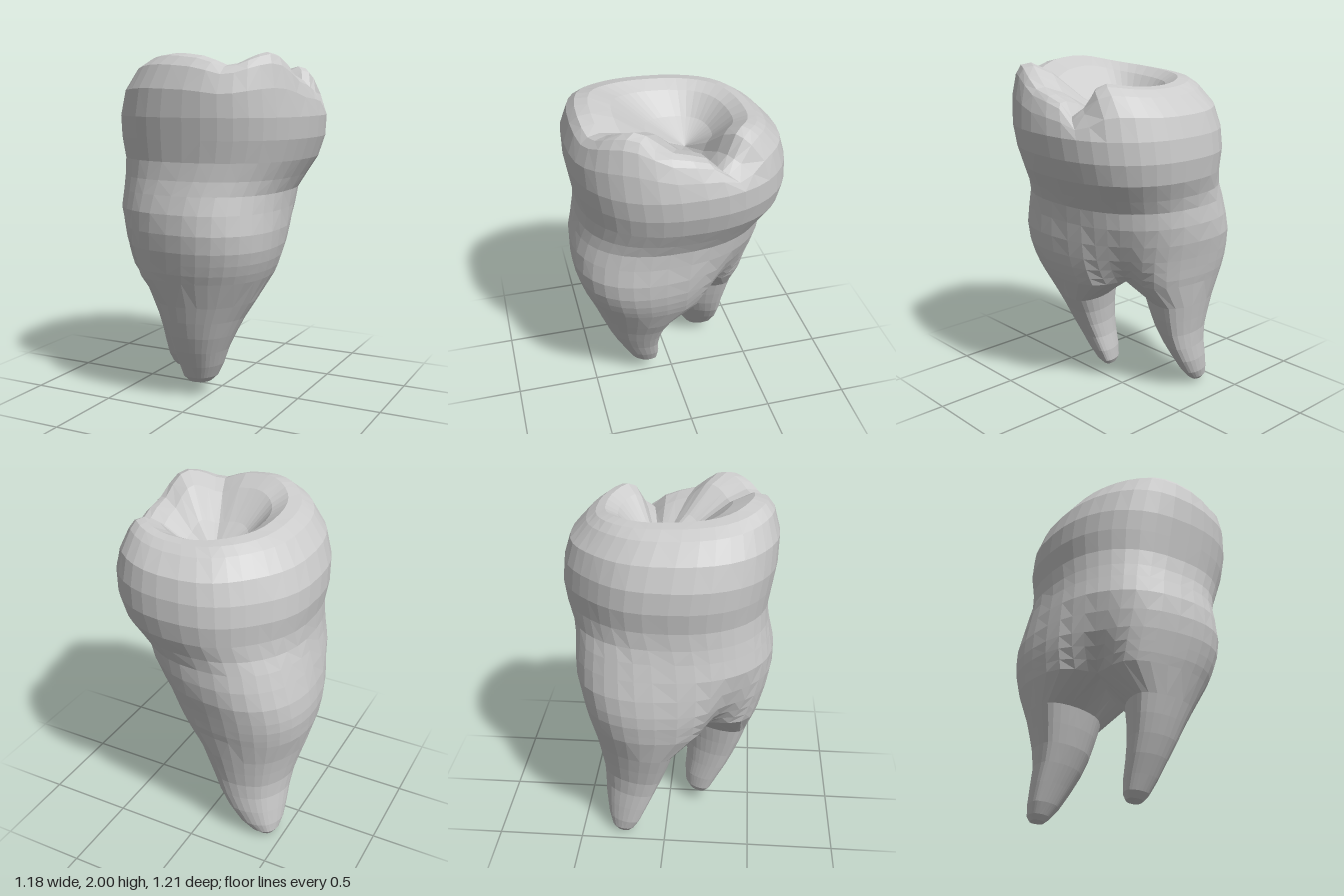
import * as THREE from 'three';

const N = 40, H = N / 2, K = 10; // points per ring, per half ring, across the fork
const FORK = -0.672;             // angle of the line that divides the two roots
const U = new THREE.Vector3(Math.cos(FORK), 0, Math.sin(FORK));
const V = new THREE.Vector3(-U.z, 0, U.x);
const WRAP = 38;                 // how far each root curls in at the fork, in degrees
const rad = THREE.MathUtils.degToRad;
const bend = (v, power) => Math.sign(v) * Math.abs(v) ** power;

// bell curve around an angle, wrapping at a full turn
function bell(t, centre, width) {
  const d = Math.atan2(Math.sin(t - centre), Math.cos(t - centre)) / width;
  return Math.exp(-d * d);
}

// rounded-square ring; skew swells one diagonal, groove dents it at the fork line,
// trim flattens the back right corner
function ring(height, [x0, x1, z0, z1, skew = 0, groove = 0, trim = 0]) {
  return Array.from({ length: N }, (_, i) => {
    const t = FORK + (i / N) * Math.PI * 2;
    const dent = groove * (bell(t, FORK, 0.36) + bell(t, FORK + Math.PI, 0.36));
    const k = (1 + skew * Math.sin(2 * t)) * (1 - dent) - trim * bell(t, rad(225), 0.5);
    return new THREE.Vector3(
      (x0 + x1) / 2 + k * (x1 - x0) / 2 * bend(Math.cos(t), 0.84),
      typeof height === 'function' ? height(t) : height,
      (z0 + z1) / 2 + k * (z1 - z0) / 2 * bend(Math.sin(t), 0.84));
  });
}

// skin between two rings, with alternating diagonals
function stitch(out, low, high) {
  low.forEach((a, i) => {
    const j = (i + 1) % low.length, b = low[j], c = high[i], d = high[j];
    if (i % 2) out.push(a, c, b, b, c, d);
    else out.push(a, c, d, a, d, b);
  });
}

function toMesh(name, points) {
  const geometry = new THREE.BufferGeometry().setFromPoints(points);
  geometry.computeVertexNormals();
  const mesh = new THREE.Mesh(geometry,
    new THREE.MeshStandardMaterial({ color: 0xcccccc, flatShading: true, side: THREE.DoubleSide }));
  mesh.name = name;
  return mesh;
}

// height of the chewing rim: cusps and the notch between them
const CUSPS = [[31, 0.045, 18], [108, 0.04, 30], [0, -0.09, 16], [-23, -0.18, 12],
  [68, -0.035, 12], [270, -0.05, 45], [200, -0.02, 35]];
const rim = t => CUSPS.reduce((y, [a, h, w]) => y + h * bell(t, rad(a), rad(w)), 1.96);
const rise = (base, f) => t => base + (rim(t) - base) * f;

function crown() {
  const rings = [
    [1.24, [-0.54, 0.44, -0.53, 0.58, 0.03]],
    [1.32, [-0.53, 0.48, -0.55, 0.565, 0.01, 0, 0.03]],
    [1.42, [-0.53, 0.535, -0.59, 0.56, 0, 0, 0.06]],
    [1.54, [-0.55, 0.575, -0.61, 0.58, 0, 0, 0.07]],
    [1.66, [-0.545, 0.587, -0.6, 0.6, 0, 0, 0.07]],
    [rise(1.66, 0.45), [-0.5, 0.57, -0.565, 0.605, 0, 0, 0.06]],
    [rise(1.66, 0.82), [-0.415, 0.54, -0.475, 0.57, 0, 0, 0.04]],
    [rise(1.66, 0.96), [-0.34, 0.515, -0.42, 0.53]],
    [rise(1.66, 1), [-0.27, 0.47, -0.37, 0.46]],
    [rise(1.67, 0.85), [-0.2, 0.38, -0.3, 0.34]],
    [rise(1.67, 0.42), [-0.1, 0.24, -0.2, 0.16]],
  ].map(r => ring(...r));
  const out = [];
  for (let i = 1; i < rings.length; i++) stitch(out, rings[i - 1], rings[i]);
  // floor of the basin
  const last = rings.at(-1), pit = new THREE.Vector3(0.06, 1.68, -0.06);
  last.forEach((p, i) => out.push(p, pit, last[(i + 1) % N]));
  return toMesh('crown', out);
}

const TRUNK = [
  [0.75, [-0.575, 0.355, -0.45, 0.525, 0.08, 0.36]],
  [0.8, [-0.58, 0.375, -0.463, 0.543, 0.085, 0.25]],
  [0.86, [-0.587, 0.395, -0.475, 0.56, 0.09, 0.16]],
  [0.93, [-0.587, 0.412, -0.49, 0.58, 0.09, 0.09]],
  [1.03, [-0.578, 0.425, -0.515, 0.598, 0.08, 0.035]],
  [1.14, [-0.56, 0.43, -0.53, 0.6, 0.05]],
  [1.24, [-0.54, 0.44, -0.53, 0.58, 0.03]],
].map(r => ring(...r));

function trunk() {
  const out = [];
  for (let i = 1; i < TRUNK.length; i++) stitch(out, TRUNK[i - 1], TRUNK[i]);
  return toMesh('rootTrunk', out);
}

// root: half of the trunk's lowest ring closed by the fork arch, then shrinking ovals
// each section: y, then centre x, centre z, half length along the fork, half width
function root(name, side, sections, tip) {
  const start = side > 0 ? 0 : H;
  const top = Array.from({ length: H + 1 }, (_, i) => TRUNK[0][(start + i) % N]);
  for (let i = 1; i < K; i++) {
    const p = top[H].clone().lerp(top[0], i / K);
    p.y -= 0.03 * Math.sin(Math.PI * i / K);
    top.push(p);
  }
  const rings = [top, ...sections.map(([y, cx, cz, a, b]) => top.map((_, i) => {
    const f = rad(i <= H
      ? -WRAP + (180 + 2 * WRAP) * i / H
      : 180 + WRAP + (180 - 2 * WRAP) * (i - H) / K);
    const inner = Math.sin(f) < 0 ? 0.78 : 1; // flatter towards the other root
    return new THREE.Vector3(cx, y, cz)
      .addScaledVector(U, side * a * bend(Math.cos(f), 1.2))
      .addScaledVector(V, side * b * inner * bend(Math.sin(f), 1.2));
  }))];
  const out = [];
  for (let i = 1; i < rings.length; i++) stitch(out, rings[i], rings[i - 1]);
  const last = rings.at(-1), end = new THREE.Vector3(...tip);
  last.forEach((p, i) => out.push(p, last[(i + 1) % last.length], end));
  return toMesh(name, out);
}

export function createModel() {
  const group = new THREE.Group();
  group.name = 'molar';
  group.add(
    crown(),
    trunk(),
    root('frontRoot', 1, [
      [0.6, 0.04, 0.253, 0.285, 0.21],
      [0.5, 0.018, 0.253, 0.24, 0.178],
      [0.4, 0, 0.244, 0.2, 0.152],
      [0.3, -0.02, 0.225, 0.165, 0.128],
      [0.2, -0.035, 0.195, 0.135, 0.106],
      [0.12, -0.05, 0.178, 0.105, 0.08],
      [0.085, -0.055, 0.175, 0.07, 0.052],
    ], [-0.06, 0.07, 0.175]),
    root('backRoot', -1, [
      [0.6, -0.272, -0.175, 0.315, 0.235],
      [0.5, -0.274, -0.183, 0.28, 0.206],
      [0.4, -0.279, -0.193, 0.245, 0.176],
      [0.3, -0.295, -0.212, 0.215, 0.147],
      [0.2, -0.325, -0.233, 0.18, 0.122],
      [0.1, -0.36, -0.248, 0.135, 0.095],
      [0.04, -0.385, -0.255, 0.09, 0.07],
      [0.012, -0.395, -0.255, 0.055, 0.045],
    ], [-0.4, 0, -0.25]));
  return group;
}
